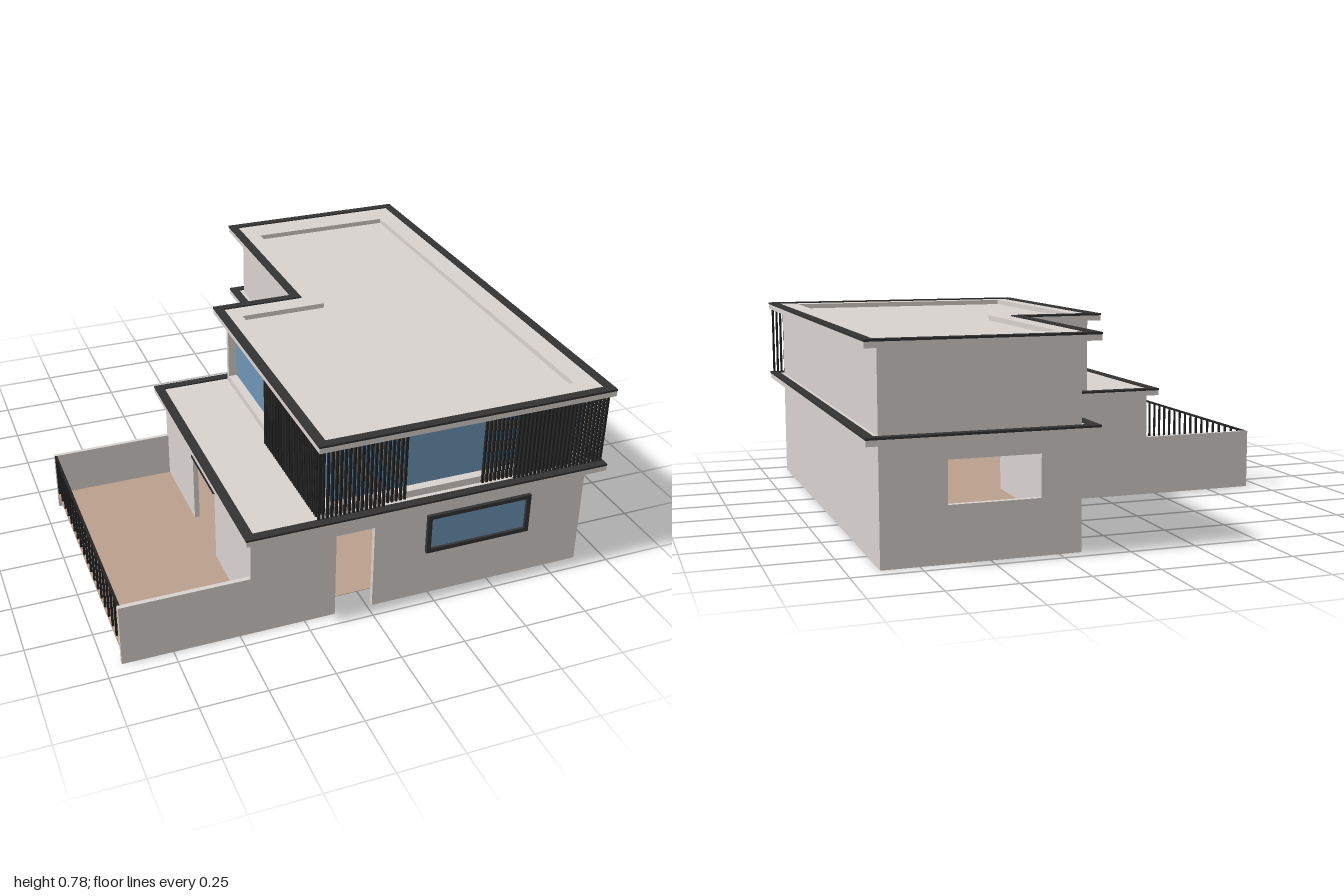
import * as THREE from 'three';

const mat = (name, hex) => {
  const m = new THREE.MeshStandardMaterial({ color: hex });
  m.name = name;
  return m;
};

export function createModel() {
  const house = new THREE.Group();
  house.name = 'house';
  const render = mat('grey render', 0xd9d3cf);
  const trim = mat('dark trim', 0x333333);
  const black = mat('black metal', 0x242424);
  const glass = mat('blue glass', 0x6d95b7);
  const wood = mat('brown floor', 0xbb9f8d);

  const add = (name, geo, material, parent = house) => {
    const mesh = new THREE.Mesh(geo, material);
    mesh.name = name;
    parent.add(mesh);
    return mesh;
  };
  const group = (name) => {
    const g = new THREE.Group();
    g.name = name;
    house.add(g);
    return g;
  };
  // Box given by its two extreme corners
  const box = (name, material, x0, x1, y0, y1, z0, z1, parent) => {
    const geo = new THREE.BoxGeometry(x1 - x0, y1 - y0, z1 - z0);
    geo.translate((x0 + x1) / 2, (y0 + y1) / 2, (z0 + z1) / 2);
    return add(name, geo, material, parent);
  };

  // L-shaped plan: xm and zm are the inner corner; positive inset shrinks it
  const plan = ({ x0, x1, xm, z0, zm, z1 }, i = 0) => [
    [x0 + i, z1 - i], [x1 - i, z1 - i], [x1 - i, z0 + i],
    [xm + i, z0 + i], [xm + i, zm + i], [x0 + i, zm + i],
  ].map(([x, z]) => new THREE.Vector2(x, -z));
  const layer = (name, material, y0, y1, outer, inner) => {
    const shape = new THREE.Shape(outer);
    if (inner) shape.holes.push(new THREE.Path(inner));
    const geo = new THREE.ExtrudeGeometry(shape, { depth: y1 - y0, bevelEnabled: false });
    geo.rotateX(-Math.PI / 2);
    geo.translate(0, y0, 0);
    return add(name, geo, material);
  };

  // Wall in the xy plane, with door notches [u0, u1, v] and window holes [u0, u1, v0, v1]
  const T = 0.02;
  const wallGeometry = (a, b, h, doors = [], windows = []) => {
    const s = new THREE.Shape();
    s.moveTo(a, 0);
    for (const [u0, u1, v] of doors) {
      s.lineTo(u0, 0);
      s.lineTo(u0, v);
      s.lineTo(u1, v);
      s.lineTo(u1, 0);
    }
    s.lineTo(b, 0);
    s.lineTo(b, h);
    s.lineTo(a, h);
    for (const [u0, u1, v0, v1] of windows) {
      s.holes.push(new THREE.Path([[u0, v0], [u0, v1], [u1, v1], [u1, v0]]
        .map((p) => new THREE.Vector2(...p))));
    }
    return new THREE.ExtrudeGeometry(s, { depth: T, bevelEnabled: false });
  };

  // Ground floor
  const H = 0.428, FLOOR = 0.065;
  const body = { x0: -0.457, x1: 0.887, xm: 0.167, z0: -0.947, zm: -0.13, z1: 0.943 };
  add('frontWall', wallGeometry(body.x0, body.x1, H, [[-0.13, 0.02, 0.35]],
    [[0.244, 0.638, 0.208, 0.342]]), render).position.z = body.z1 - T;
  add('backWall', wallGeometry(body.xm, body.x1, H, [],
    [[0.315, 0.65, 0.205, 0.36]]), render).position.z = body.z0;
  box('sideWall', render, body.x1 - T, body.x1, 0, H, body.z0 + T, body.z1 - T);
  box('wingSideWall', render, body.xm, body.xm + T, 0, H, body.z0 + T, body.zm + T);
  box('wingBackWall', render, body.x0, body.xm, 0, H, body.zm, body.zm + T);

  // Wall to the terrace, with its doorway
  const wx = body.x0;
  box('terraceWallBack', render, wx, wx + T, 0, H, body.zm + T, 0.25);
  box('terraceWallFront', render, wx, wx + T, FLOOR - 0.01, H, 0.53, body.z1 - T);
  box('terraceWallLintel', render, wx, wx + T, 0.355, H, 0.25, 0.53);
  box('terraceDoorHead', black, wx - 0.006, wx, 0.35, 0.36, 0.25, 0.53);
  layer('groundFloor', wood, FLOOR - 0.002, FLOOR, plan(body, T));

  // Front window
  const win = group('frontWindow');
  box('windowGlass', glass, 0.244, 0.638, 0.208, 0.342, 0.938, 0.946, win);
  box('frameBottom', trim, 0.228, 0.655, 0.193, 0.209, 0.935, 0.957, win);
  box('frameTop', trim, 0.228, 0.655, 0.341, 0.357, 0.935, 0.957, win);
  for (const x of [0.228, 0.638]) {
    box('frameSide', trim, x, x + 0.017, 0.209, 0.341, 0.935, 0.957, win);
  }

  // Slab between floors, with its dark edge trim
  const slab = { x0: -0.49, x1: 0.94, xm: 0.115, z0: -1, zm: -0.175, z1: 1 };
  layer('floorSlab', render, H, 0.452, plan(slab));
  layer('floorSlabTrim', trim, 0.449, 0.457, plan(slab, -0.001), plan(slab, 0.034));

  // Upper floor: sill and lintel bands around set-back glazing
  const upper = { ...body, x0: -0.185 };
  const SILL = 0.48, HEAD = 0.72, INSET = 0.04;
  const core = { ...upper, x0: upper.x0 + INSET, z1: upper.z1 - INSET };
  layer('sillBand', render, 0.452, SILL, plan(upper));
  layer('upperWalls', render, SILL, HEAD, plan(core));
  layer('lintelBand', render, HEAD, 0.75, plan(upper));
  box('frontPier', render, 0.867, upper.x1, SILL, HEAD, core.z1, upper.z1);
  box('backPier', render, upper.x0, core.x0, SILL, HEAD, upper.zm, upper.zm + T);
  box('frontGlazing', glass, core.x0, 0.867, SILL, HEAD, core.z1, core.z1 + 0.005);
  box('terraceGlazing', glass, core.x0 - 0.005, core.x0, SILL, HEAD, upper.zm + T, core.z1);

  // Roof with a sunken middle
  const roof = { ...slab, x0: -0.225 };
  const sunken = { x0: -0.137, x1: 0.822, xm: 0.217, z0: -0.845, zm: -0.06, z1: 0.895 };
  layer('roofDeck', render, 0.748, 0.752, plan(roof));
  layer('roofBorder', render, 0.752, 0.772, plan(roof), plan(sunken));
  layer('roofTrim', trim, 0.769, 0.777, plan(roof, -0.001), plan(roof, 0.034));

  // Sliding louvre screens in two staggered rows
  const louvres = group('louvres');
  const STEP = 0.0165;
  const screen = (from, to, row, alongZ) => {
    for (let u = from; u <= to - 0.008; u += STEP) {
      if (alongZ) box('sideLouvre', black, row - 0.005, row + 0.005, 0.455, 0.749, u, u + 0.0085, louvres);
      else box('frontLouvre', black, u, u + 0.0085, 0.455, 0.749, row - 0.005, row + 0.005, louvres);
    }
  };
  const s0 = -0.215;
  screen(s0, 0.05, 0.966);
  screen(s0 + STEP * 2.5, 0.14, 0.949);
  screen(0.438, 0.815, 0.949);
  screen(0.438 + STEP * 7.5, 0.938, 0.966);
  screen(0.41, 0.95, -0.21, true);
  screen(0.41 + STEP / 2, 0.945, -0.194, true);

  // Terrace: floor, two parapets and a railing on the open side
  const X = -0.94, TOP = 0.245;
  box('terraceFloor', wood, X, wx + T, FLOOR - 0.003, FLOOR - 0.001, -0.115, 0.925);
  box('frontParapet', render, X, wx, 0, TOP, 0.925, body.z1);
  box('backParapet', render, X, wx, 0, TOP, body.zm, -0.115);
  const railing = group('railing');
  box('topRail', black, X + 0.001, X + 0.011, TOP - 0.008, TOP, -0.115, 0.925, railing);
  const posts = 19;
  for (let i = 0; i < posts; i++) {
    const z = -0.108 + (1.026 * i) / (posts - 1);
    box('post', black, X + 0.002, X + 0.01, FLOOR, TOP - 0.008, z - 0.004, z + 0.004, railing);
  }
  return house;
}
